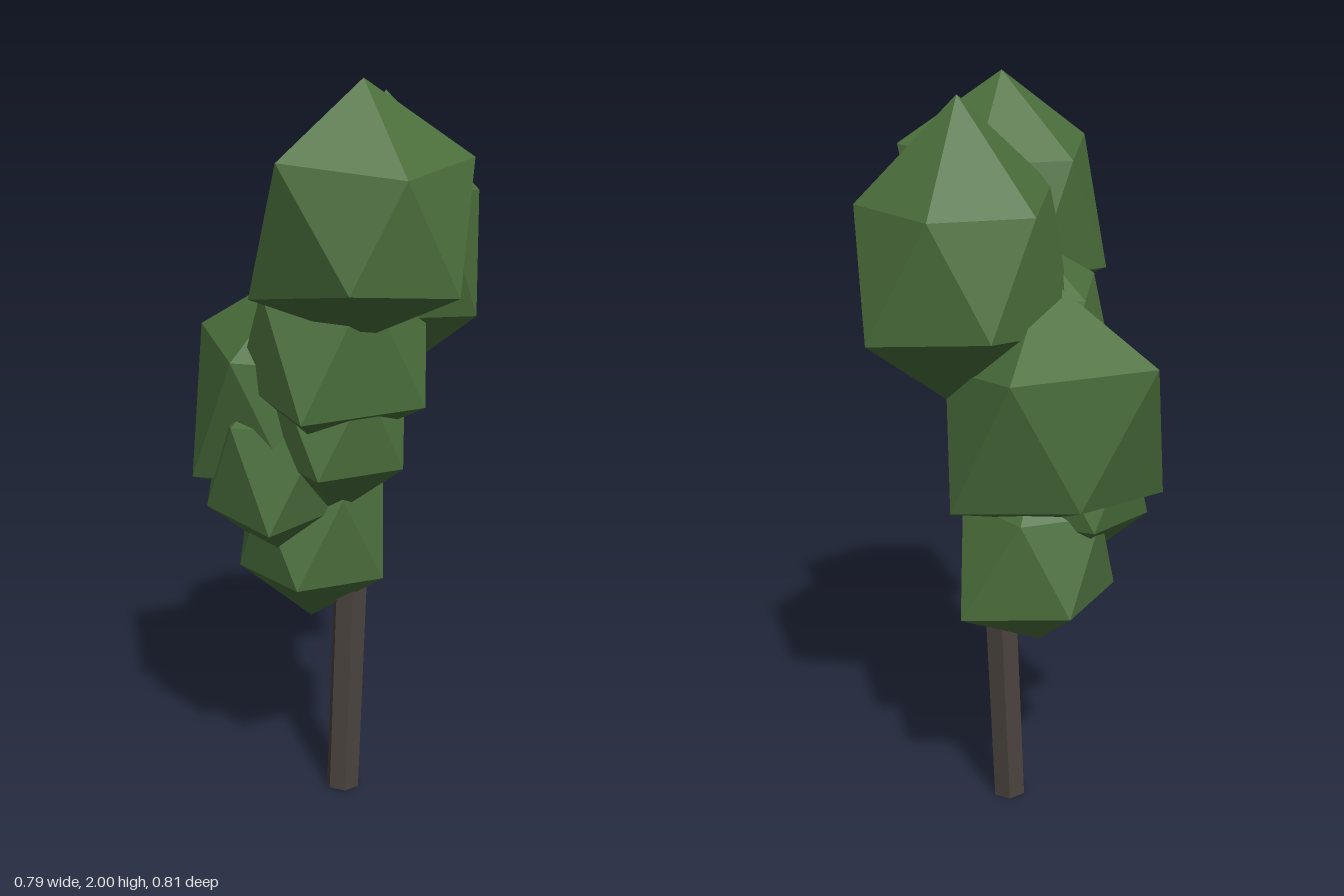
import * as THREE from 'three';

const STRETCH = 1.19; // foliage is taller than wide

// Uneven icosahedron standing on its pole.
// radii: top, five upper ring points, five lower ring points, bottom
function clumpGeometry(top, upper, lower, bottom) {
  const points = [];
  const add = (r, slope, angle) => points.push(
    r * Math.cos(slope) * Math.cos(angle),
    r * Math.sin(slope) * STRETCH,
    r * Math.cos(slope) * Math.sin(angle));
  const slope = Math.atan(0.5), step = Math.PI * 2 / 5;
  add(top, Math.PI / 2, 0);
  upper.forEach((r, k) => add(r, slope, k * step));
  lower.forEach((r, k) => add(r, -slope, (k + 0.5) * step));
  add(bottom, -Math.PI / 2, 0);

  const index = [];
  for (let k = 0; k < 5; k++) {
    const n = (k + 1) % 5;
    const u0 = 1 + k, u1 = 1 + n, l0 = 6 + k, l1 = 6 + n;
    index.push(0, u1, u0, u0, u1, l0, l0, u1, l1, 11, l0, l1);
  }
  const geometry = new THREE.BufferGeometry();
  geometry.setAttribute('position', new THREE.Float32BufferAttribute(points, 3));
  geometry.setIndex(index);
  const flat = geometry.toNonIndexed();
  flat.computeVertexNormals();
  return flat;
}

export function createModel() {
  const tree = new THREE.Group();
  tree.name = 'tree';

  const leaf = new THREE.MeshStandardMaterial({ color: 0x4b6f3c, flatShading: true });
  leaf.name = 'leafGreen';
  const bark = new THREE.MeshStandardMaterial({ color: 0x4b433f, flatShading: true });
  bark.name = 'barkBrown';

  // Six-sided trunk, leaning slightly
  const trunkGeometry = new THREE.CylinderGeometry(0.049, 0.048, 0.8, 6);
  trunkGeometry.translate(0, 0.4, 0);
  const trunk = new THREE.Mesh(trunkGeometry, bark);
  trunk.name = 'trunk';
  trunk.position.set(0.01, 0.002, -0.038);
  trunk.rotation.set(-0.03, 0, -0.04);
  tree.add(trunk);

  // Foliage clumps, from the crown down
  const clumps = [
    { name: 'topFrontFoliage', at: [0.022, 1.65, 0.192], top: 0.294, bottom: 0.23,
      upper: [0.308, 0.243, 0.32, 0.248, 0.247], lower: [0.289, 0.247, 0.316, 0.28, 0.28] },
    { name: 'topBackFoliage', at: [0.137, 1.55, -0.12], top: 0.345, bottom: 0.31,
      upper: [0.285, 0.325, 0.33, 0.256, 0.26], lower: [0.298, 0.27, 0.32, 0.276, 0.312] },
    { name: 'middleFrontFoliage', at: [-0.05, 1.36, -0.02], top: 0.2, bottom: 0.28,
      upper: [0.313, 0.29, 0.235, 0.18, 0.2], lower: [0.336, 0.341, 0.245, 0.22, 0.28] },
    { name: 'middleBackFoliage', at: [-0.077, 1.13, -0.11], top: 0.33, bottom: 0.22,
      upper: [0.28, 0.28, 0.304, 0.371, 0.347], lower: [0.3, 0.28, 0.354, 0.289, 0.334] },
    { name: 'innerFoliage', at: [-0.03, 1.14, 0.02], top: 0.2, bottom: 0.24,
      upper: [0.22, 0.22, 0.2, 0.2, 0.2], lower: [0.235, 0.235, 0.2, 0.2, 0.2] },
    { name: 'lowerRightFoliage', at: [-0.14, 1.0, -0.07], top: 0.22, bottom: 0.25,
      upper: [0.22, 0.25, 0.22, 0.22, 0.22], lower: [0.21, 0.275, 0.245, 0.22, 0.21] },
    { name: 'lowestFoliage', at: [-0.07, 0.8, -0.1], top: 0.24, bottom: 0.24,
      upper: [0.228, 0.22, 0.21, 0.21, 0.212], lower: [0.25, 0.24, 0.224, 0.248, 0.293] },
  ];
  for (const { name, at, top, upper, lower, bottom } of clumps) {
    const clump = new THREE.Mesh(clumpGeometry(top, upper, lower, bottom), leaf);
    clump.name = name;
    clump.position.set(...at);
    tree.add(clump);
  }
  return tree;
}
